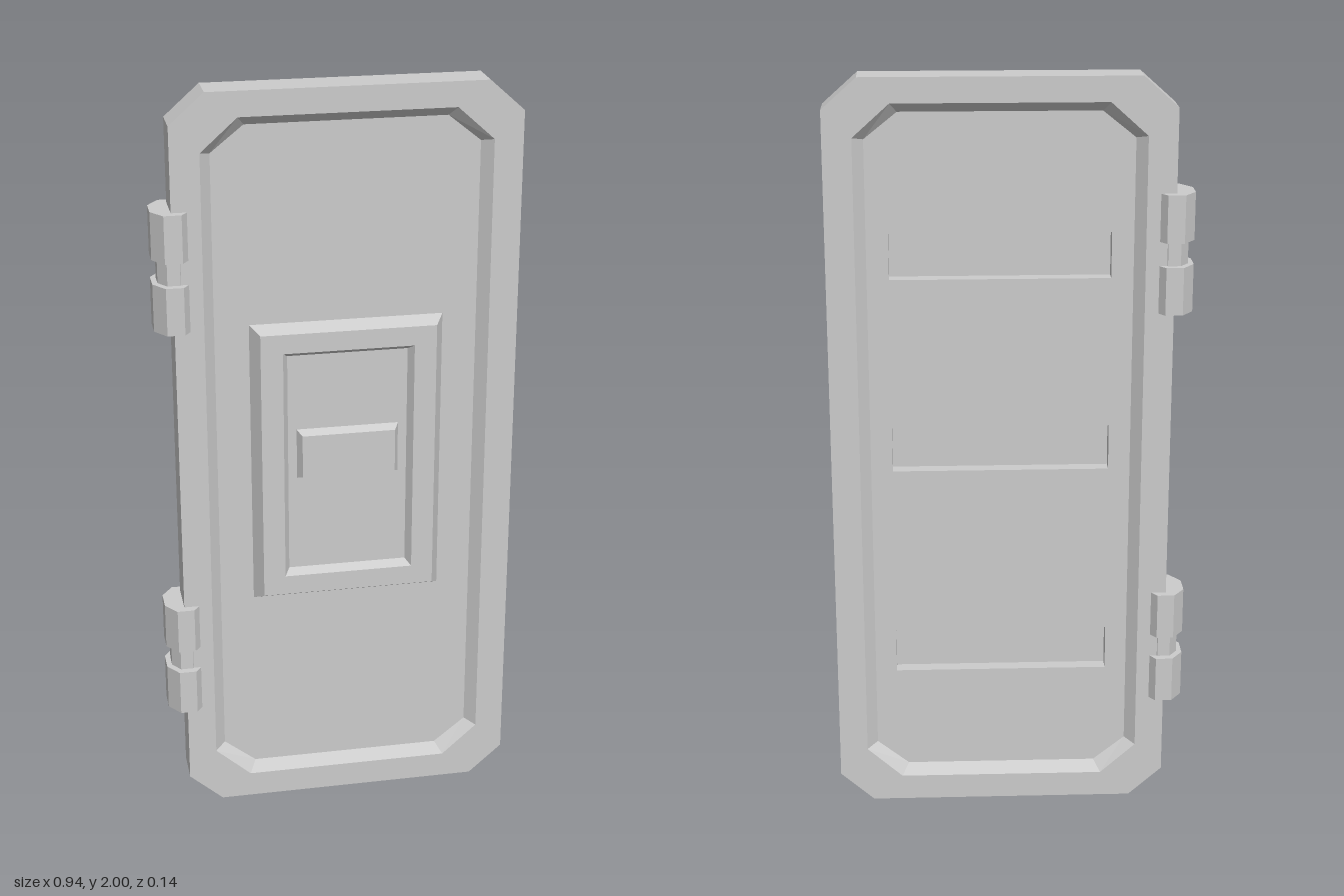
import * as THREE from 'three';

const material = new THREE.MeshStandardMaterial({ color: 0xcccccc, flatShading: true });

// Counter-clockwise outline centred on x = 0; cx, cy cut the corners
function outline(halfW, y0, y1, cx = 0, cy = 0) {
  const w = halfW;
  const pts = cx
    ? [[w - cx, y0], [w, y0 + cy], [w, y1 - cy], [w - cx, y1], [cx - w, y1], [-w, y1 - cy], [-w, y0 + cy], [cx - w, y0]]
    : [[w, y0], [w, y1], [-w, y1], [-w, y0]];
  return pts.map(([x, y]) => new THREE.Vector2(x, y));
}

// Joins successive outlines [points, z] with flat strips and caps the last one
function addLoft(parent, name, rings, holes = []) {
  const pos = [];
  for (let r = 0; r + 1 < rings.length; r++) {
    const [a, za] = rings[r], [b, zb] = rings[r + 1];
    a.forEach((p, i) => {
      const j = (i + 1) % a.length;
      pos.push(p.x, p.y, za, a[j].x, a[j].y, za, b[j].x, b[j].y, zb);
      pos.push(p.x, p.y, za, b[j].x, b[j].y, zb, b[i].x, b[i].y, zb);
    });
  }
  const [last, zLast] = rings[rings.length - 1];
  const shape = new THREE.Shape(last);
  shape.holes = holes.map((h) => new THREE.Path(h));
  const cap = new THREE.ShapeGeometry(shape).toNonIndexed().getAttribute('position');
  for (let i = 0; i < cap.count; i++) pos.push(cap.getX(i), cap.getY(i), zLast);
  const geo = new THREE.BufferGeometry();
  geo.setAttribute('position', new THREE.Float32BufferAttribute(pos, 3));
  geo.computeVertexNormals();
  const mesh = new THREE.Mesh(geo, material);
  mesh.name = name;
  parent.add(mesh);
  return mesh;
}

// Eight-sided hinge barrel standing between y0 and y1
function addBarrel(parent, name, y0, y1, scale = 1) {
  const pts = outline(0.052 * scale, -0.072 * scale, 0.072 * scale, 0.0295 * scale, 0.042 * scale);
  const geo = new THREE.ExtrudeGeometry(new THREE.Shape(pts), { depth: y1 - y0, bevelEnabled: false });
  geo.rotateX(-Math.PI / 2);
  const mesh = new THREE.Mesh(geo, material);
  mesh.name = name;
  mesh.position.set(-0.418, y0, 0);
  parent.add(mesh);
}

export function createModel() {
  const model = new THREE.Group();
  model.name = 'door';
  const leaf = new THREE.Group();
  leaf.name = 'doorLeaf';
  leaf.position.x = 0.025;
  model.add(leaf);

  const outer = outline(0.445, 0, 2, 0.09, 0.08);
  const recessEdge = outline(0.37, 0.07, 1.935, 0.095, 0.085);
  const recessFloor = outline(0.342, 0.097, 1.91, 0.085, 0.068);
  const FACE = 0.05, FLOOR = 0.022;

  // Front half with the outer rim
  addLoft(leaf, 'frontFace', [[outer, -FACE], [outer, FACE], [recessEdge, FACE], [recessFloor, FLOOR]]);

  // Back half with three horizontal slots
  const back = new THREE.Group();
  back.name = 'backSide';
  back.rotation.y = Math.PI;
  leaf.add(back);
  const slots = [0.44, 1.02, 1.54].map((y) => outline(0.285, y - 0.06, y + 0.06));
  addLoft(back, 'backFace', [[outer, FACE], [recessEdge, FACE], [recessFloor, FLOOR]], slots);
  slots.forEach((s) => addLoft(back, 'backSlot', [[s, FLOOR], [s, -0.016]]));

  // Raised panel with its own recess and a handle block
  addLoft(leaf, 'frontPanel', [
    [outline(0.253, 0.61, 1.39), FLOOR],
    [outline(0.23, 0.632, 1.372), 0.062],
    [outline(0.172, 0.685, 1.32), 0.062],
    [outline(0.158, 0.7, 1.306), 0.04],
  ]);
  addLoft(leaf, 'handle', [
    [outline(0.135, 0.962, 1.1), 0.04],
    [outline(0.123, 0.972, 1.088), 0.062],
  ]);

  // Two hinges, each two knuckles on a thinner pin
  for (const y of [0.3, 1.392]) {
    const hinge = new THREE.Group();
    hinge.name = 'hinge';
    hinge.position.y = y;
    addBarrel(hinge, 'lowerKnuckle', 0, 0.125);
    addBarrel(hinge, 'upperKnuckle', 0.188, 0.312);
    addBarrel(hinge, 'hingePin', 0.1, 0.21, 0.73);
    model.add(hinge);
  }
  return model;
}
